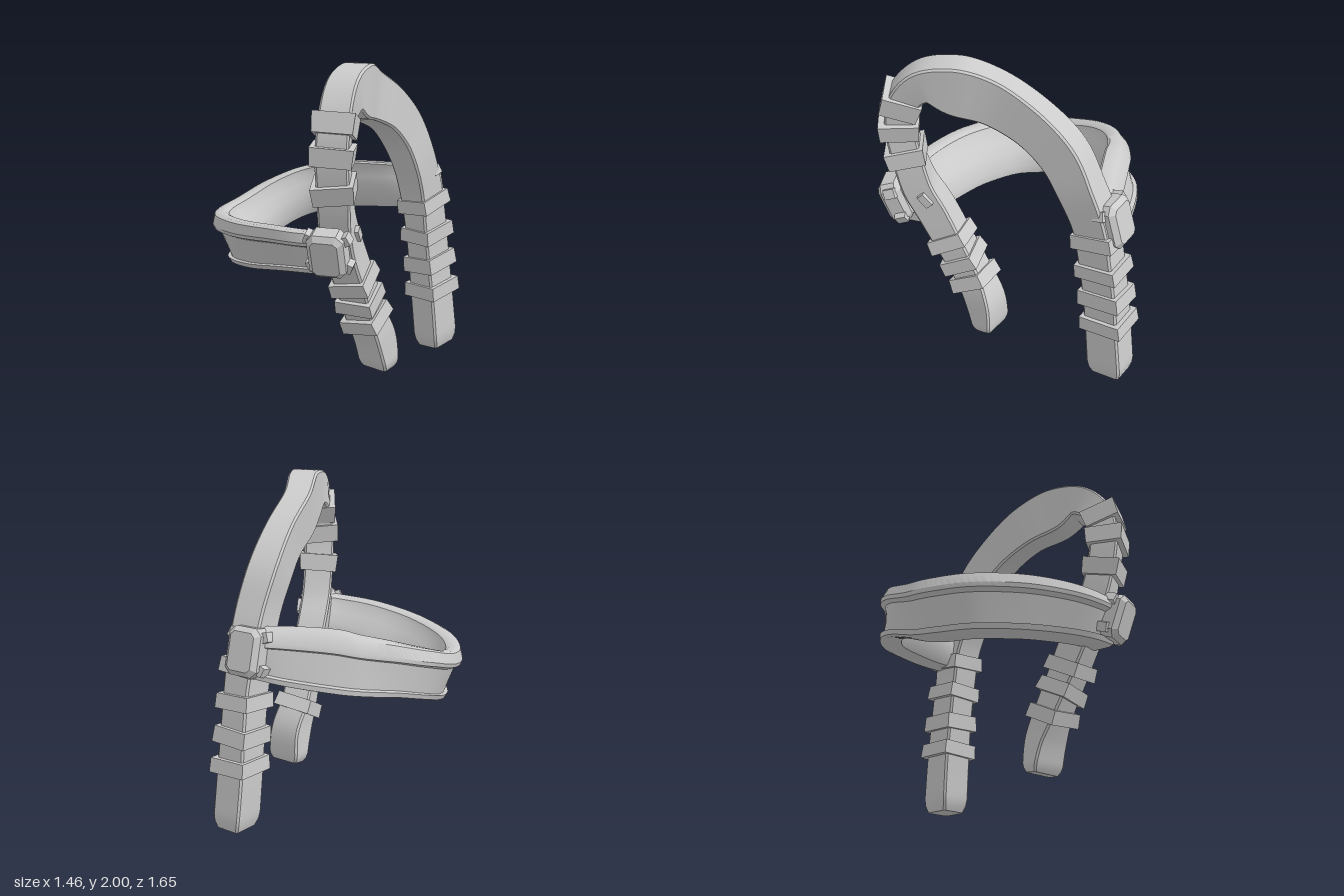
import * as THREE from 'three';
import { toCreasedNormals } from 'three/addons/utils/BufferGeometryUtils.js';

const material = new THREE.MeshStandardMaterial({ color: 0xcccccc });
const V = (x, y, z) => new THREE.Vector3(x, y, z);
const curve = (pts) => new THREE.CatmullRomCurve3(pts.map((p) => V(...p)), false, 'catmullrom', 0.5);

function addMesh(parent, geometry, name) {
  const mesh = new THREE.Mesh(geometry, material);
  mesh.name = name;
  parent.add(mesh);
  return mesh;
}

// Joins rings of section points; frame(u) gives origin p and axes a, b; section(u) gives [a, b] pairs
function sweep(steps, frame, section) {
  const pos = [], idx = [];
  const n = section(0).length;
  for (let j = 0; j <= steps; j++) {
    const u = j / steps, f = frame(u);
    for (const [a, b] of section(u)) {
      const q = f.p.clone().addScaledVector(f.a, a).addScaledVector(f.b, b);
      pos.push(q.x, q.y, q.z);
    }
  }
  for (let j = 0; j < steps; j++) {
    for (let i = 0; i < n; i++) {
      const k = (i + 1) % n, r = j * n, s = r + n;
      idx.push(r + i, r + k, s + k, r + i, s + k, s + i);
    }
  }
  const cap = THREE.ShapeUtils.triangulateShape(section(0).map(([a, b]) => new THREE.Vector2(a, b)), []);
  for (const [a, b, c] of cap) {
    idx.push(a, c, b, steps * n + a, steps * n + b, steps * n + c);
  }
  const g = new THREE.BufferGeometry();
  g.setAttribute('position', new THREE.Float32BufferAttribute(pos, 3));
  g.setIndex(idx);
  return toCreasedNormals(g, 0.6);
}

// Shoulder strap stations: x, y, z, width, thickness, turn about the vertical
const STRAP = [
  [0.42, 0.1, 0.11, 0.23, 0.13, 0.45], [0.4, 0.3, 0.15, 0.21, 0.18, 0.4],
  [0.36, 0.47, 0.23, 0.19, 0.18, 0.2], [0.335, 0.68, 0.34, 0.19, 0.19, 0.08],
  [0.3, 0.92, 0.47, 0.19, 0.2, 0], [0.29, 1.1, 0.57, 0.19, 0.19, -0.1],
  [0.29, 1.32, 0.63, 0.19, 0.18, -0.2], [0.29, 1.53, 0.66, 0.19, 0.18, -0.2],
  [0.3, 1.72, 0.625, 0.19, 0.18, -0.15], [0.31, 1.85, 0.49, 0.19, 0.21, 0],
  [0.32, 1.84, 0.3, 0.18, 0.32, 0], [0.32, 1.78, 0.08, 0.17, 0.3, 0],
  [0.375, 1.675, -0.15, 0.175, 0.27, 0.12], [0.425, 1.52, -0.33, 0.19, 0.26, 0.2],
  [0.475, 1.32, -0.445, 0.19, 0.24, 0.28], [0.505, 1.1, -0.54, 0.19, 0.23, 0.36],
  [0.53, 0.87, -0.585, 0.18, 0.23, 0.42], [0.55, 0.6, -0.625, 0.18, 0.23, 0.42],
  [0.57, 0.33, -0.655, 0.19, 0.23, 0.42], [0.595, 0.01, -0.685, 0.19, 0.24, 0.42],
];
const LAST = STRAP.length - 1;
const strapPath = curve(STRAP.map((s) => s.slice(0, 3)));
const strapSize = curve(STRAP.map((s) => s.slice(3)));

function strapFrame(u) {
  const t = strapPath.getTangent(u), size = strapSize.getPoint(u);
  const b = V(Math.cos(size.z), 0, Math.sin(size.z));
  b.addScaledVector(t, -b.dot(t)).normalize();
  return { p: strapPath.getPoint(u), a: b.clone().cross(t), b, t, width: size.x, thick: size.y };
}

// Rounded rectangle that narrows at both strap tips
function strapSection(u) {
  const size = strapSize.getPoint(u);
  const tip = Math.min(u, 1 - u) * LAST;
  const s = 0.8 + 0.2 * Math.sqrt(Math.min(1, tip / 0.25));
  const a = size.y / 2 * s, b = size.x / 2 * s, c = 0.012;
  return [[a, -b + c], [a, b - c], [a - c, b], [-a + c, b],
    [-a, b - c], [-a, -b + c], [-a + c, -b], [a - c, -b]];
}

// Chest belt stations: x, y, z, outward lean of the top edge, half height
const BELT = [
  [0.32, 0.95, 0.63, 0.3, 0.14], [0.14, 0.935, 0.6, 0.5, 0.14], [-0.08, 0.915, 0.51, 0.55, 0.15],
  [-0.33, 0.88, 0.365, 0.5, 0.16], [-0.53, 0.85, 0.155, 0.42, 0.165], [-0.6, 0.84, -0.05, 0.38, 0.165],
  [-0.57, 0.87, -0.21, 0.3, 0.165], [-0.475, 0.95, -0.395, 0.15, 0.165], [-0.33, 1.02, -0.53, 0, 0.165],
  [-0.16, 1.06, -0.605, -0.2, 0.165], [0, 1.085, -0.62, -0.33, 0.165],
  [0.28, 1.1, -0.61, -0.3, 0.155], [0.5, 1.11, -0.6, -0.1, 0.14],
];
const beltPath = curve(BELT.map((s) => s.slice(0, 3)));
const beltSize = curve(BELT.map((s) => [s[3], s[4], 0]));

function beltFrame(u) {
  const t = beltPath.getTangent(u).setY(0).normalize();
  const up = V(0, 1, 0), a = up.clone().cross(t);
  return { p: beltPath.getPoint(u), a, b: up.addScaledVector(a, beltSize.getPoint(u).x) };
}

// Ridge below a sloping top rim, lip along the bottom, soft swelling inside
function beltSection(u) {
  const h = beltSize.getPoint(u).y;
  return [[0.075, -h + 0.01], [0.08, -h + 0.04], [0.055, -h + 0.045], [0.055, 0.3 * h], [0.085, 0.4 * h],
    [0.085, 0.55 * h], [0.045, h - 0.01], [0.02, h], [-0.03, h], [-0.045, h - 0.01],
    [-0.045, h - 0.04], [-0.065, 0.4 * h], [-0.085, 0], [-0.088, -0.6 * h], [-0.06, -h + 0.005], [0.05, -h]];
}

// Wrapped binding around the strap, flaring toward one edge
function makeBinding(station, height, grow, tilt, flare) {
  const f = strapFrame(station / LAST);
  const geometry = new THREE.BoxGeometry(f.width + grow, height, f.thick + grow);
  const p = geometry.attributes.position;
  for (let i = 0; i < p.count; i++) {
    const s = 1 + flare * Math.sign(p.getY(i));
    p.setXYZ(i, p.getX(i) * s, p.getY(i), p.getZ(i) * s);
  }
  geometry.computeVertexNormals();
  const mesh = new THREE.Mesh(geometry, material);
  mesh.name = 'strapBinding';
  mesh.quaternion.setFromRotationMatrix(new THREE.Matrix4().makeBasis(f.b, f.t, f.a));
  mesh.position.copy(f.p).addScaledVector(f.a, 0.006);
  mesh.rotateZ(tilt);
  return mesh;
}

// Chamfered clasp with small tabs at its corners
function makeClasp(name, w, h) {
  const g = new THREE.Group();
  g.name = name;
  const x = w / 2, y = h / 2, c = 0.04;
  const outline = [[x, -y + c], [x, y - c], [x - c, y], [-x + c, y],
    [-x, y - c], [-x, -y + c], [-x + c, -y], [x - c, -y]];
  const plate = new THREE.ExtrudeGeometry(new THREE.Shape(outline.map((p) => new THREE.Vector2(...p))),
    { depth: 0.09, bevelThickness: 0.03, bevelSize: 0.03, bevelOffset: -0.03, bevelSegments: 1 });
  addMesh(g, plate, 'claspPlate').position.z = -0.05;
  for (const sx of [-1, 1]) {
    for (const sy of [-1, 1]) {
      const tab = addMesh(g, new THREE.BoxGeometry(0.06, 0.06, 0.07), 'claspTab');
      tab.position.set(sx * (x - 0.005), sy * (y - 0.05), -0.02);
      tab.rotation.z = sx * sy * 0.4;
    }
  }
  return g;
}

export function createModel() {
  const model = new THREE.Group();
  model.name = 'harness';

  addMesh(model, sweep(140, strapFrame, strapSection), 'shoulderStrap');
  addMesh(model, sweep(90, beltFrame, beltSection), 'chestBelt');

  // Bindings: front lower, front upper, back
  const bindings = [
    [1.9, 0.09, 0.05, 0.08, -0.03], [2.6, 0.09, 0.045, -0.06, -0.03], [3.2, 0.09, 0.045, 0.06, -0.03],
    [6, 0.11, 0.05, 0.05, 0.03], [6.97, 0.11, 0.055, -0.05, 0.03], [7.8, 0.12, 0.05, 0.06, 0.03],
    [15.4, 0.09, 0.04, -0.04, 0.02], [16.25, 0.09, 0.045, 0.04, 0.02],
    [17, 0.1, 0.045, -0.04, 0.02], [17.7, 0.09, 0.05, 0.04, 0.02],
  ];
  for (const b of bindings) model.add(makeBinding(...b));

  // Clasps where the belt meets the strap
  const front = makeClasp('frontClasp', 0.22, 0.28);
  front.position.set(0.28, 0.965, 0.715);
  front.rotation.x = 0.35;
  const back = makeClasp('backClasp', 0.22, 0.29);
  back.rotation.order = 'YXZ';
  back.position.set(0.505, 1.13, -0.655);
  back.rotation.set(-0.28, Math.PI - 0.4, 0);
  model.add(front, back);

  // Small stud on the left side of the strap
  const stud = addMesh(model, new THREE.BoxGeometry(0.04, 0.09, 0.05), 'strapStud');
  stud.position.set(0.39, 1.04, 0.51);
  stud.rotation.x = 0.7;
  return model;
}
